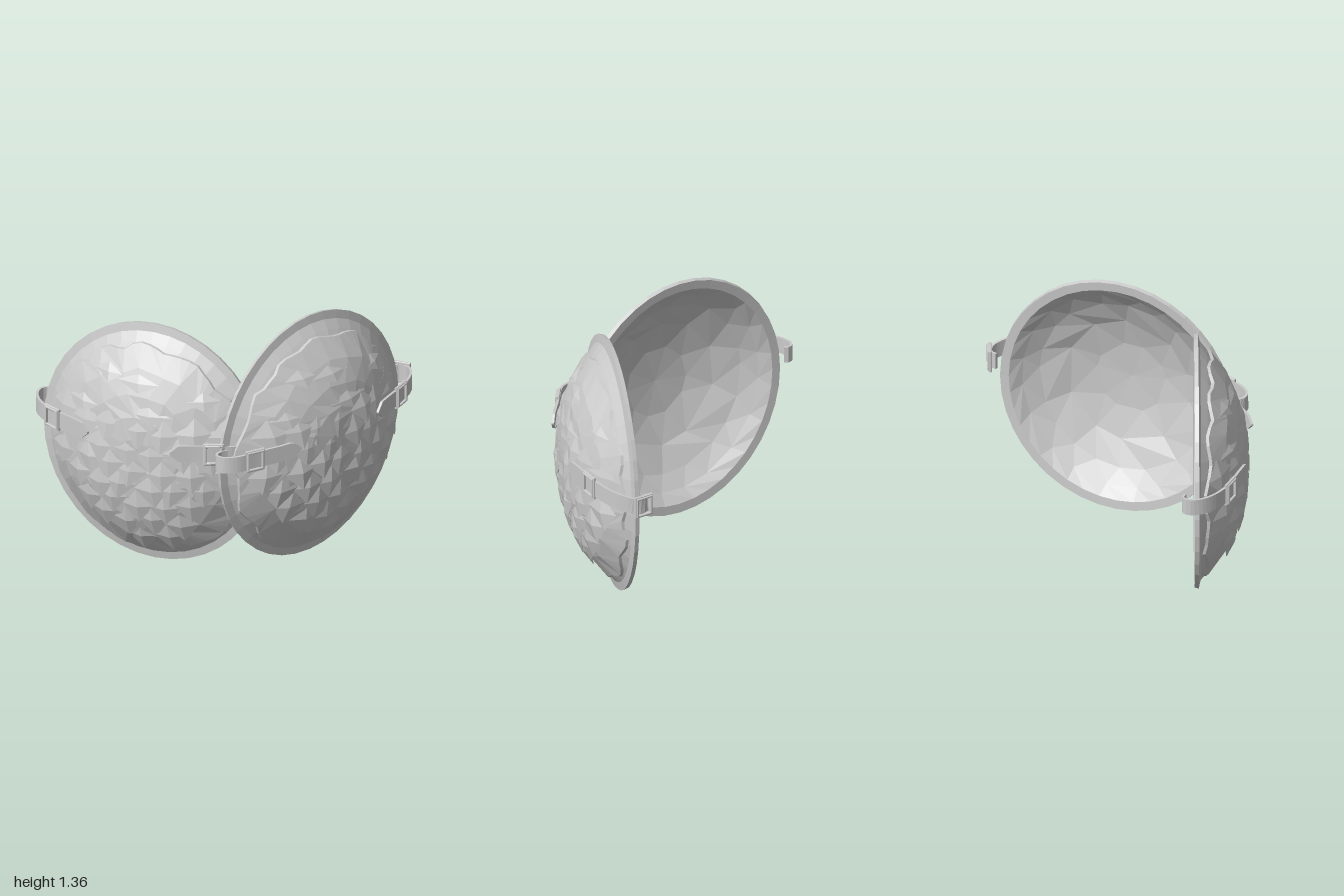
import * as THREE from 'three';

const RY = 0.68, DEPTH = 0.23, RIM = 0.935;
const V = (x, y, z) => new THREE.Vector3(x, y, z);

// Repeatable noise from 0 to 1
function noise(a, b) {
  const s = Math.sin(a * 12.9898 + b * 78.233) * 43758.5453;
  return s - Math.floor(s);
}

function add(parent, name, geometry, side = THREE.FrontSide) {
  const material = new THREE.MeshStandardMaterial({ color: 0xcccccc, flatShading: true, side });
  const mesh = new THREE.Mesh(geometry, material);
  mesh.name = name;
  parent.add(mesh);
  return mesh;
}

// Skin over rows of points; every row is a closed loop of equal length
function loft(rows) {
  const n = rows[0].length, index = [];
  for (let i = 0; i < rows.length - 1; i++) {
    for (let j = 0; j < n; j++) {
      const k = (j + 1) % n, a = i * n, b = a + n;
      index.push(a + j, b + j, b + k, a + j, b + k, a + k);
    }
  }
  const g = new THREE.BufferGeometry().setFromPoints(rows.flat());
  g.setIndex(index);
  g.computeVertexNormals();
  return g;
}

// Point on the dome, lifted along its normal
function dome(rx, x, y, lift = 0) {
  const height = (px, py) => 0.012 + DEPTH * (1 - Math.min(1, Math.hypot(px / rx, py / RY) / RIM) ** 2.5);
  const e = 0.01, z = height(x, y);
  const normal = V(-(height(x + e, y) - z) / e, -(height(x, y + e) - z) / e, 1).normalize();
  return V(x, y, z).addScaledVector(normal, lift);
}

// Angle of column j; inner rows share corners in groups so that facets stay large
function columnAngle(j, seg, group, row, seed) {
  const c = Math.floor(j / group) * group;
  const shift = group > 1 ? 0.5 * group * (noise(c + seed, row) - 0.5) + (row % 2) * group * 0.5 : 0;
  return (c + shift) / seg * Math.PI * 2;
}

// Bowl: outer skin, flat rim, then the inside back to the centre
function bowlGeometry(rx, seed) {
  const profile = [[0.001, 4], [0.3, 4], [0.56, 4], [0.76, 2], [0.87, 1]].map(([r, g]) => ({ r, g, lift: 0 }));
  profile.push(...[[0.935, 0.014], [1, 0.004], [0.992, -0.018], [0.92, -0.014]].map(([r, z]) => ({ r, z, g: 1 })));
  profile.push(...[[0.86, 2], [0.74, 2], [0.54, 4], [0.3, 4], [0.001, 4]].map(([r, g]) => ({ r, g, lift: -0.022 })));
  const seg = 40;
  return loft(profile.map(({ r, z, g, lift }, row) => Array.from({ length: seg }, (_, j) => {
    const a = columnAngle(j, seg, g, row, seed);
    const x = r * rx * Math.cos(a), y = r * RY * Math.sin(a);
    return z === undefined ? dome(rx, x, y, lift) : V(x, y, z);
  })));
}

// Rough husk with a wavy border
function huskGeometry(rx, seed) {
  const seg = 72;
  const steps = [[0.001, 6], [0.2, 6], [0.4, 6], [0.6, 3], [0.8, 3], [0.985, 1], [1, 1]];
  return loft(steps.map(([s, group], i) => Array.from({ length: seg }, (_, j) => {
    const a = columnAngle(j, seg, group, i, seed);
    const edge = 0.89 - 0.05 * Math.max(0, Math.sin(a)) + 0.018 * Math.sin(a * 13 + Math.sin(a * 3))
      + 0.015 * noise(j, seed);
    const x = s * edge * rx * Math.cos(a), y = s * edge * RY * Math.sin(a);
    const lift = i === 6 ? -0.002 : i === 5 ? 0.012 : 0.018 + 0.006 * Math.sin(9 * x + seed) * Math.sin(11 * y);
    return dome(rx, x, y, lift);
  })));
}

// Ridged, pointed scales that overlap downwards, plus ledges near the top
function scalesGeometry(rx, seed) {
  const points = [];
  const scale = (x, y, w, h, tipLift, skew) => {
    const p = (dx, dy, l) => dome(rx, x + dx, y + dy, l);
    const top = p(0, h, 0.014), left = p(-w, 0, 0.015), right = p(w, h * 0.1, 0.015);
    const tip = p(skew, -h, tipLift), ridge = p(skew * 0.5, 0, tipLift), base = p(skew, -h * 0.6, 0.008);
    points.push(top, left, ridge, left, tip, ridge, tip, right, ridge, right, top, ridge);
    points.push(left, base, tip, base, right, tip);
  };
  for (let row = 0; row < 7; row++) {
    for (let k = -4; k <= 4; k++) {
      const rnd = noise(k + seed, row);
      const x = (k + (row % 2) / 2) * 0.145 + (rnd - 0.5) * 0.03;
      const y = -0.47 + row * 0.105 + (noise(row, k + seed) - 0.5) * 0.04;
      if (Math.hypot(x / rx, (y - 0.04) / RY) > 0.78) continue;
      scale(x, y, 0.09, 0.095, (row > 4 ? 0.023 : 0.028) + 0.009 * rnd, (rnd - 0.5) * 0.06);
    }
  }
  const ledges = [[-0.02, 0.4, 0.12], [0.06, 0.25, 0.14], [-0.33, 0.24, 0.1], [0.32, 0.34, 0.09], [-0.2, 0.42, 0.09]];
  ledges.forEach(([x, y, w]) => scale(x, y, w, 0.045, 0.026, 0.02));
  const g = new THREE.BufferGeometry().setFromPoints(points);
  g.computeVertexNormals();
  return g;
}

function shellHalf(name, rx, seed, x, z, turn) {
  const group = new THREE.Group();
  group.name = name;
  add(group, 'bowl', bowlGeometry(rx, seed));
  add(group, 'husk', huskGeometry(rx, seed));
  add(group, 'scales', scalesGeometry(rx, seed), THREE.DoubleSide);
  group.position.set(x, 0.682, z);
  group.rotation.y = turn;
  return group;
}

// Square frame with a raised inner lip
function buckle() {
  const group = new THREE.Group();
  group.name = 'buckle';
  const rect = (Kind, w, h) => new Kind([[-w, -h], [w, -h], [w, h], [-w, h]].map(([a, b]) => new THREE.Vector2(a, b)));
  const frame = (w, h, t, depth) => {
    const shape = rect(THREE.Shape, w, h);
    shape.holes.push(rect(THREE.Path, w - t, h - t));
    return new THREE.ExtrudeGeometry(shape, {
      depth, bevelEnabled: true, bevelSize: 0.003, bevelThickness: 0.003, bevelSegments: 1
    });
  };
  add(group, 'frame', frame(0.052, 0.058, 0.012, 0.01)).position.z = -0.006;
  add(group, 'lip', frame(0.046, 0.052, 0.006, 0.016)).position.z = -0.004;
  return group;
}

// Ribbon with a pointed tip that follows a path, with buckles along it
function strap(name, pts, side, buckles) {
  const group = new THREE.Group();
  group.name = name;
  const curve = new THREE.CatmullRomCurve3(pts.map(p => V(...p)));
  const length = curve.getLength(), up = V(0, 1, 0), rows = [], steps = 30;
  const frameAt = u => {
    const t = curve.getTangentAt(u);
    return { p: curve.getPointAt(u), t, n: up.clone().cross(t).normalize().multiplyScalar(side) };
  };
  for (let i = 0; i <= steps; i++) {
    const u = i / steps, { p, t, n } = frameAt(u), b = n.clone().cross(t);
    const half = 0.045 * Math.min(1, 0.1 + u * length / 0.05);
    const row = [[1, -1], [1, 1], [-1, 1], [-1, -1]].map(([s, v]) =>
      p.clone().addScaledVector(n, s * 0.007).addScaledVector(b, v * half));
    if (i === 0) rows.push(row.map(() => p.clone()));
    rows.push(row);
    if (i === steps) rows.push(row.map(() => p.clone()));
  }
  add(group, 'band', loft(rows));
  for (const u of buckles) {
    const { p, n } = frameAt(u), b = buckle();
    b.position.copy(p).addScaledVector(n, 0.004);
    b.lookAt(b.position.clone().add(n));
    group.add(b);
  }
  return group;
}

export function createModel() {
  const model = new THREE.Group();
  model.name = 'shellPair';
  model.add(
    shellHalf('leftShell', 0.655, 3, 0.39, -0.012, 0.62),
    shellHalf('rightShell', 0.632, 8, -0.42, -0.045, -0.575),
    strap('leftInnerStrap', [[0.29, 0.78, 0.36], [0.17, 0.77, 0.395], [0.05, 0.765, 0.43], [-0.07, 0.76, 0.465],
      [-0.14, 0.755, 0.45], [-0.165, 0.75, 0.405], [-0.14, 0.75, 0.37], [-0.1, 0.75, 0.355]], 1, [0.46]),
    strap('leftOuterStrap', [[0.74, 0.81, 0.075], [0.82, 0.81, -0.03], [0.9, 0.812, -0.13], [0.955, 0.805, -0.23],
      [0.98, 0.795, -0.33], [0.972, 0.785, -0.41], [0.93, 0.78, -0.445], [0.895, 0.78, -0.435]], -1, [0.37, 0.92]),
    strap('rightInnerStrap', [[-0.4, 0.775, 0.31], [-0.28, 0.772, 0.325], [-0.17, 0.77, 0.345],
      [-0.06, 0.765, 0.35], [0.0, 0.76, 0.33]], -1, [0.57]),
    strap('rightOuterStrap', [[-0.785, 0.79, 0.03], [-0.86, 0.79, -0.08], [-0.945, 0.79, -0.2], [-0.985, 0.787, -0.31],
      [-0.985, 0.785, -0.4], [-0.955, 0.785, -0.455], [-0.915, 0.785, -0.465], [-0.9, 0.785, -0.44]], 1, [0.42])
  );
  return model;
}
